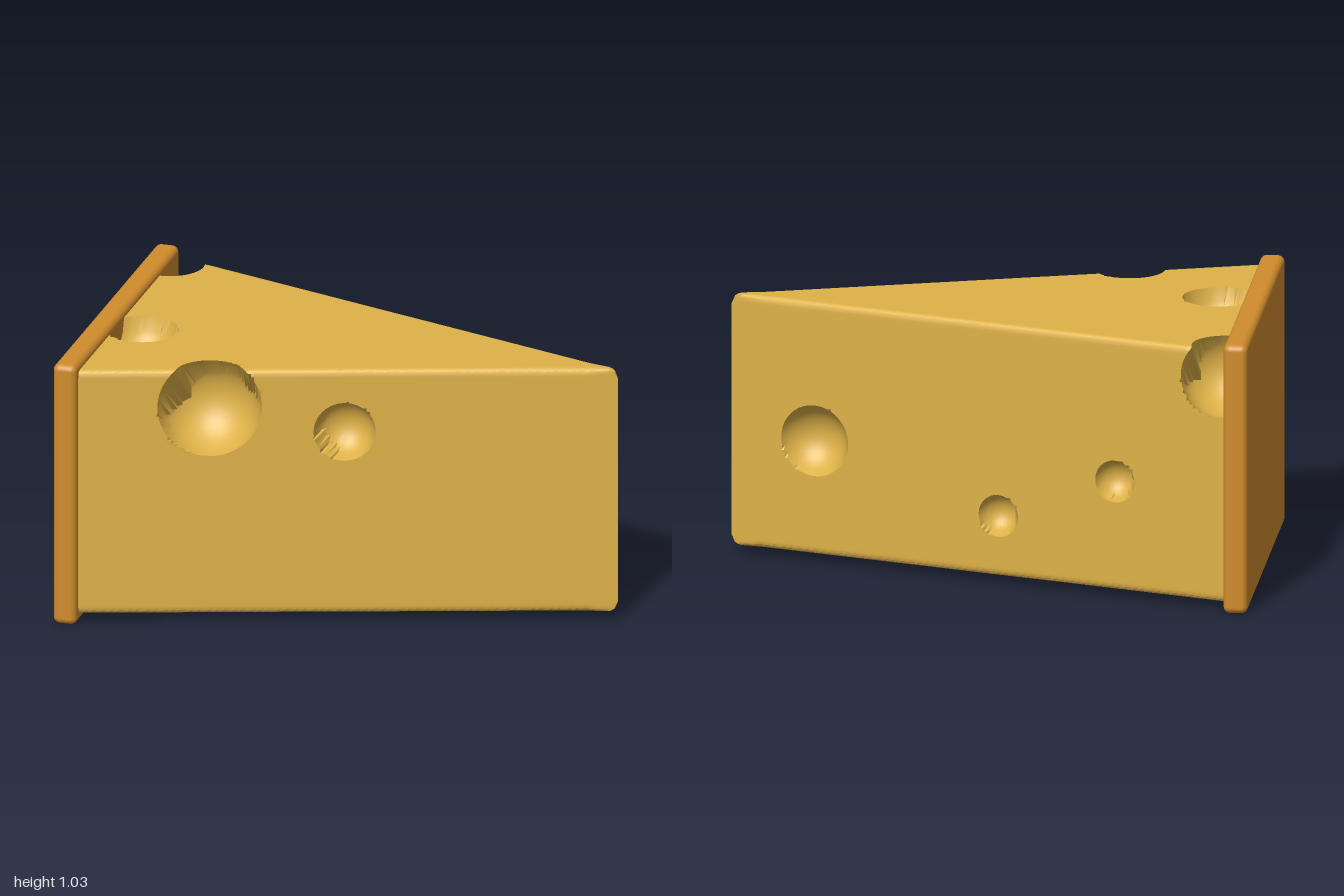
import * as THREE from 'three';
import { toCreasedNormals } from 'three/addons/utils/BufferGeometryUtils.js';
import { RoundedBoxGeometry } from 'three/addons/geometries/RoundedBoxGeometry.js';

const V = (x, y, z) => new THREE.Vector3(x, y, z);
const clamp = THREE.MathUtils.clamp;

const X0 = -0.93, TIP = 0.99, SLOPE = 0.3237, Y0 = 0.035, Y1 = 1.0;
const STEPS = 150, SIDE = 70, FLAT = 90;

// Spherical holes: centre, radius, direction in which the surface is pushed in
const holes = [
  [V(-0.44, 0.855, 0.49), 0.195, V(0, -1, -1)],    // front top edge
  [V(0.03, 0.755, 0.32), 0.115, V(0, 0, -1)],      // front
  [V(-0.81, 1.0, 0.135), 0.135, V(0, -1, 0)],      // top, beside the rind
  [V(-0.91, 0.89, -0.53), 0.17, V(0, -1, 1)],      // back top corner
  [V(0.68, 0.47, -0.14), 0.14, V(0, 0, 1)],        // back, near the tip
  [V(-0.49, 0.45, -0.48), 0.08, V(0, 0, 1)],       // back
  [V(-0.04, 0.265, -0.335), 0.08, V(0, 0, 1)],     // back, low
  [V(0.316, 0.035, -0.025), 0.1, V(0, 1, 0)],      // underside
  [V(-0.81, 0.035, 0.05), 0.135, V(0, 1, 0)],      // underside, beside the rind
].map(([c, r, d]) => ({ c, r, d: d.normalize() }));

// Outward normals of the four long faces, in loop order
const normals = [V(SLOPE, 0, 1), V(0, 1, 0), V(SLOPE, 0, -1), V(0, -1, 0)].map((n) => n.normalize());

// Snap points beside a rim onto it, then push points within a hole onto its far wall
function carve(p, n) {
  for (const { c, r, d } of holes) {
    const off = c.clone().sub(p).dot(n);
    if (Math.abs(off) >= r) continue;
    const mid = c.clone().addScaledVector(n, -off);
    const rim = Math.sqrt(r * r - off * off);
    const v = p.clone().sub(mid), len = v.length();
    if (Math.abs(len - rim) < 0.007) {
      p.copy(mid).addScaledVector(v, rim / len);
    } else if (len < rim) {
      const m = p.clone().sub(c), b = m.dot(d);
      p.addScaledVector(d, -b + Math.sqrt(b * b - m.lengthSq() + r * r));
    }
  }
  return p;
}

// Rounded rectangular cross-section of the wedge at x
function section(x, w) {
  const t = clamp((x - 0.95) / 0.04, 0, 1);
  const inset = 0.04 * (1 - Math.sqrt(1 - t * t));
  const lo = Y0 + inset, hi = Y1 - inset, rr = Math.min(0.02, w * 0.5);
  const points = [];
  [SIDE, FLAT, SIDE, FLAT].forEach((count, face) => {
    for (let k = 0; k < count; k++) {
      const f = k / count, y = lo + (hi - lo) * f, z = w * (1 - 2 * f);
      const p = [V(x, y, w), V(x, hi, z), V(x, lo + hi - y, -w), V(x, lo, -z)][face];
      const q = V(x, clamp(p.y, lo + rr, hi - rr), clamp(p.z, rr - w, w - rr));
      p.sub(q).normalize().multiplyScalar(rr).add(q);
      points.push(carve(p, normals[face]));
    }
  });
  return points;
}

function wedgeGeometry() {
  const pos = [], index = [], loop = 2 * (SIDE + FLAT);
  for (let i = 0; i <= STEPS + 1; i++) {
    const x = X0 + (TIP - X0) * Math.min(i / STEPS, 1);
    const w = i > STEPS ? 0.0005 : SLOPE * (TIP - x) + 0.003;
    for (const p of section(x, w)) pos.push(p.x, p.y, p.z);
  }
  for (let i = 0; i <= STEPS; i++) {
    for (let j = 0; j < loop; j++) {
      const k = (j + 1) % loop;
      const a = i * loop + j, b = a + loop, c = (i + 1) * loop + k, d = i * loop + k;
      index.push(a, b, c, a, c, d);
    }
  }
  const geo = new THREE.BufferGeometry();
  geo.setAttribute('position', new THREE.Float32BufferAttribute(pos, 3));
  geo.setIndex(index);
  return toCreasedNormals(geo, 0.6);
}

export function createModel() {
  const group = new THREE.Group();
  group.name = 'cheeseWedge';

  const cheese = new THREE.MeshStandardMaterial({ color: 0xdfb248 });
  cheese.name = 'cheese yellow';
  const rindColour = new THREE.MeshStandardMaterial({ color: 0xd08c2c });
  rindColour.name = 'rind orange';

  // Holed wedge, its wide end sunk into the rind
  const wedge = new THREE.Mesh(wedgeGeometry(), cheese);
  wedge.name = 'wedge';

  // Rind slab on the wide end
  const rind = new THREE.Mesh(new RoundedBoxGeometry(0.09, 1.03, 1.31, 4, 0.025), rindColour);
  rind.name = 'rind';
  rind.position.set(-0.955, 0.515, 0);

  group.add(wedge, rind);
  return group;
}
